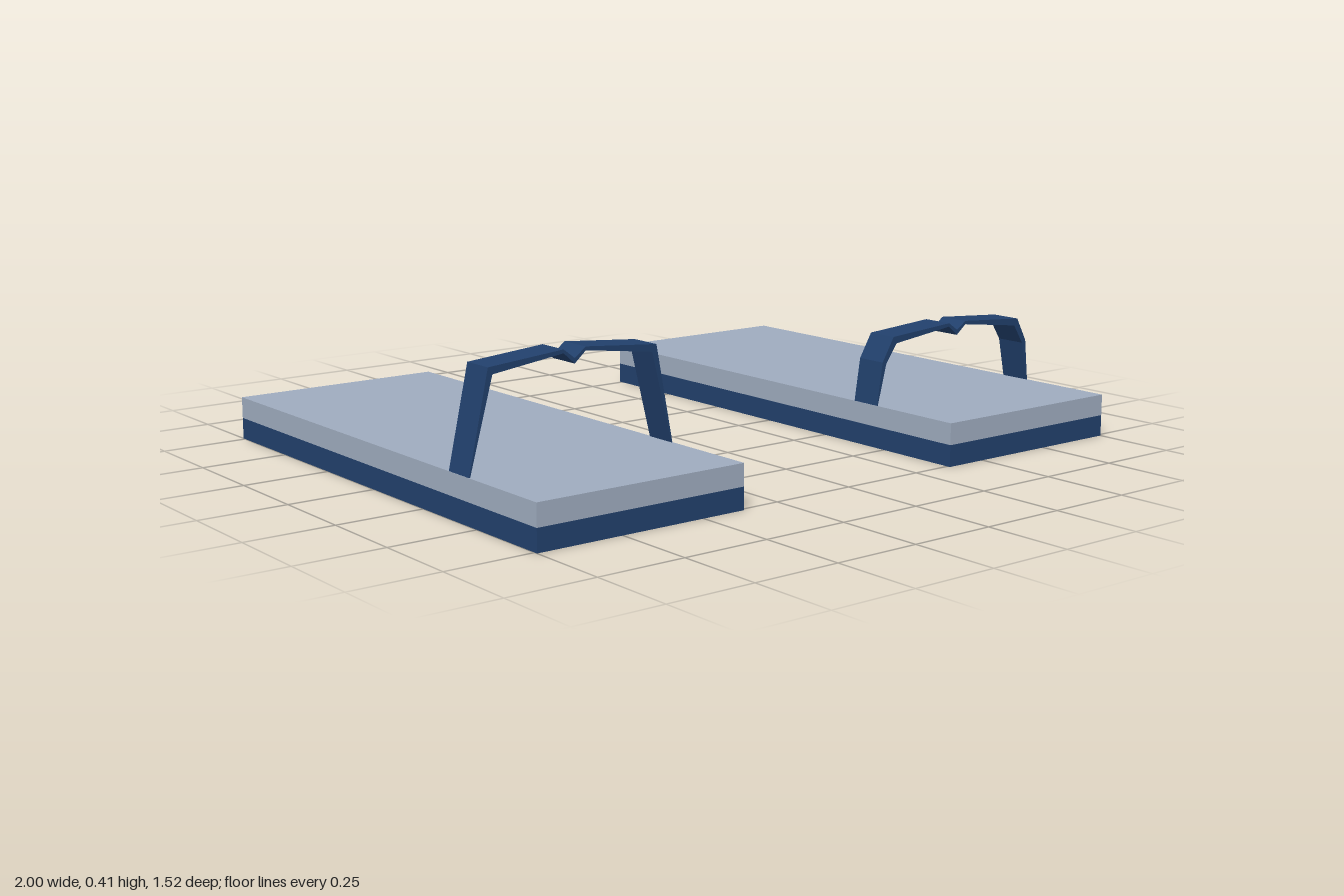
import * as THREE from 'three';

const navy = new THREE.MeshStandardMaterial({ color: 0x21406c });
navy.name = 'navy';
const paleBlueGrey = new THREE.MeshStandardMaterial({ color: 0x9eabbe });
paleBlueGrey.name = 'pale blue grey';

const WIDTH = 0.63, LENGTH = 1.52, LAYER = 0.0615;
const STRAP_BACK = 0.373, STRAP_DEPTH = 0.093;

function soleLayer(name, y, material) {
  const mesh = new THREE.Mesh(new THREE.BoxGeometry(WIDTH, LAYER, LENGTH), material);
  mesh.name = name;
  mesh.position.y = y + LAYER / 2;
  return mesh;
}

// Mirrors a half profile (foot to centre notch) into a full arch
function arch(half) {
  return [...half, ...half.slice(0, -1).reverse().map(([x, y]) => [-x, y])];
}

// Thin folded band, tapering to a point at each foot
function strap(outer, inner) {
  const outline = [...arch(outer), ...arch(inner).reverse()];
  const shape = new THREE.Shape(outline.map(([x, y]) => new THREE.Vector2(x, y)));
  const geometry = new THREE.ExtrudeGeometry(shape, { depth: STRAP_DEPTH, bevelEnabled: false });
  geometry.translate(0, 0, STRAP_BACK);
  // Slight forward lean
  geometry.applyMatrix4(new THREE.Matrix4().makeShear(0, 0, 0, 0.02, 0, 0));
  const mesh = new THREE.Mesh(geometry, navy);
  mesh.name = 'strap';
  return mesh;
}

function sandal(name, x, outer, inner) {
  const group = new THREE.Group();
  group.name = name;
  group.position.x = x;
  group.add(
    soleLayer('outsole', 0, navy),
    soleLayer('footbed', LAYER, paleBlueGrey),
    strap(outer, inner),
  );
  return group;
}

export function createModel() {
  const model = new THREE.Group();
  model.name = 'sandals';
  // Tall strap with a single bend at each shoulder
  model.add(sandal('rightSandal', -0.685,
    [[-0.315, 0.12], [-0.258, 0.392], [-0.034, 0.411], [0, 0.385]],
    [[-0.312, 0.12], [-0.245, 0.373], [-0.034, 0.401], [0, 0.371]]));
  // Lower strap with an extra bend on each side
  model.add(sandal('leftSandal', 0.685,
    [[-0.315, 0.12], [-0.298, 0.247], [-0.258, 0.317], [-0.034, 0.333], [0, 0.31]],
    [[-0.312, 0.12], [-0.284, 0.24], [-0.246, 0.297], [-0.034, 0.323], [0, 0.295]]));
  return model;
}
